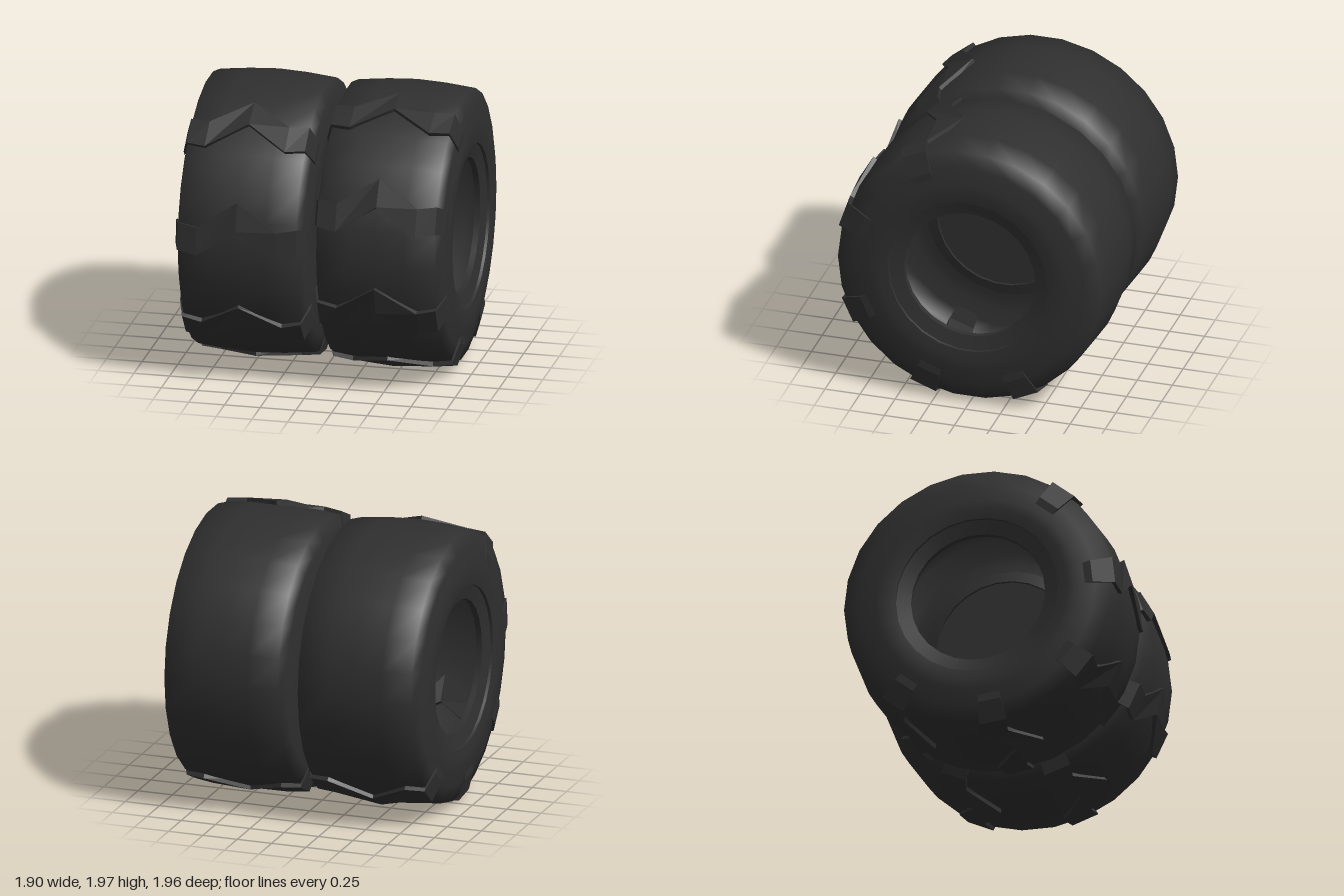
import * as THREE from 'three';

const rubber = new THREE.MeshStandardMaterial({ color: 0x2f2f2f, side: THREE.DoubleSide });
rubber.name = 'rubber';
const SEGMENTS = 26;
const RAD = Math.PI / 180;

function add(parent, geometry, name) {
  const mesh = new THREE.Mesh(geometry, rubber);
  mesh.name = name;
  parent.add(mesh);
  return mesh;
}

// Revolve [x, radius] points about the x axis
function revolve(points) {
  const profile = points.map(([x, r]) => new THREE.Vector2(r, x));
  return new THREE.LatheGeometry(profile, SEGMENTS).rotateZ(-Math.PI / 2);
}

// Zigzag tread columns: x, tyre radius, angle below the chevron's peak
const COLUMNS = [
  [-0.45, 0.80, 9.5], [-0.415, 0.935, 9.5], [-0.28, 0.953, 11], [0, 0.97, 0],
  [0.28, 0.953, 11], [0.415, 0.935, 9.5], [0.45, 0.80, 9.5],
];

// Raised chevron block wrapped over the tread, its lower peak at the given angle
function chevron(peak) {
  const sections = COLUMNS.map(([x, r, drop], i) => {
    const shoulder = i === 0 || i === COLUMNS.length - 1;
    const top = r + (shoulder ? 0.015 : 0.028);
    const sx = shoulder ? x + Math.sign(x) * 0.008 : x;
    const low = (peak - drop) * RAD, high = low + 11.5 * RAD;
    return [[r - 0.04, low], [top, low], [top, high], [r - 0.04, high]].map(
      ([radius, a]) => [sx, radius * Math.sin(a), radius * Math.cos(a)]);
  });
  const positions = [];
  const quad = (a, b, c, d) => positions.push(...a, ...b, ...c, ...a, ...c, ...d);
  for (let i = 0; i < sections.length - 1; i++) {
    const p = sections[i], q = sections[i + 1];
    for (let j = 0; j < 4; j++) {
      const k = (j + 1) % 4;
      quad(p[j], q[j], q[k], p[k]);
    }
  }
  const first = sections[0], last = sections[sections.length - 1];
  quad(first[0], first[1], first[2], first[3]);
  quad(last[3], last[2], last[1], last[0]);
  const geometry = new THREE.BufferGeometry();
  geometry.setAttribute('position', new THREE.Float32BufferAttribute(positions, 3));
  geometry.computeVertexNormals();
  return geometry;
}

function createWheel(side, firstPeak) {
  const wheel = new THREE.Group();
  wheel.name = side > 0 ? 'leftWheel' : 'rightWheel';

  // Hollow tyre shell with rounded shoulders
  add(wheel, revolve([
    [-0.455, 0.57], [-0.465, 0.64], [-0.463, 0.71], [-0.44, 0.83], [-0.41, 0.94],
    [-0.2, 0.962], [0, 0.972], [0.2, 0.962],
    [0.41, 0.94], [0.44, 0.83], [0.463, 0.71], [0.465, 0.64], [0.455, 0.57],
  ]), 'tyre');

  // Sloping rim rings around both openings
  for (const s of [-1, 1]) {
    add(wheel, revolve([[s * 0.455, 0.575], [s * 0.435, 0.57]]), 'rimEdge');
    add(wheel, revolve([[s * 0.435, 0.57], [s * 0.41, 0.47]]), 'rimRing');
    add(wheel, revolve([[s * 0.41, 0.47], [s * 0.37, 0.47]]), 'rimLip');
  }

  // Closed hub plate on the inner side
  const hub = add(wheel, new THREE.CircleGeometry(0.48, SEGMENTS), 'hubPlate');
  hub.rotation.y = side * Math.PI / 2;
  hub.position.x = -side * 0.39;

  // Tread runs over the front and underneath
  for (let i = 0; i < 5; i++) add(wheel, chevron(firstPeak - i * 45), 'treadChevron');

  wheel.position.set(side * 0.485, 1, 0);
  return wheel;
}

export function createModel() {
  const model = new THREE.Group();
  model.name = 'twinWheels';
  model.add(createWheel(1, 69), createWheel(-1, 55));

  // Short axle joining the wheels
  const axle = add(model, new THREE.CylinderGeometry(0.205, 0.205, 0.18, 8), 'axle');
  axle.rotation.z = Math.PI / 2;
  axle.position.y = 1;
  return model;
}
